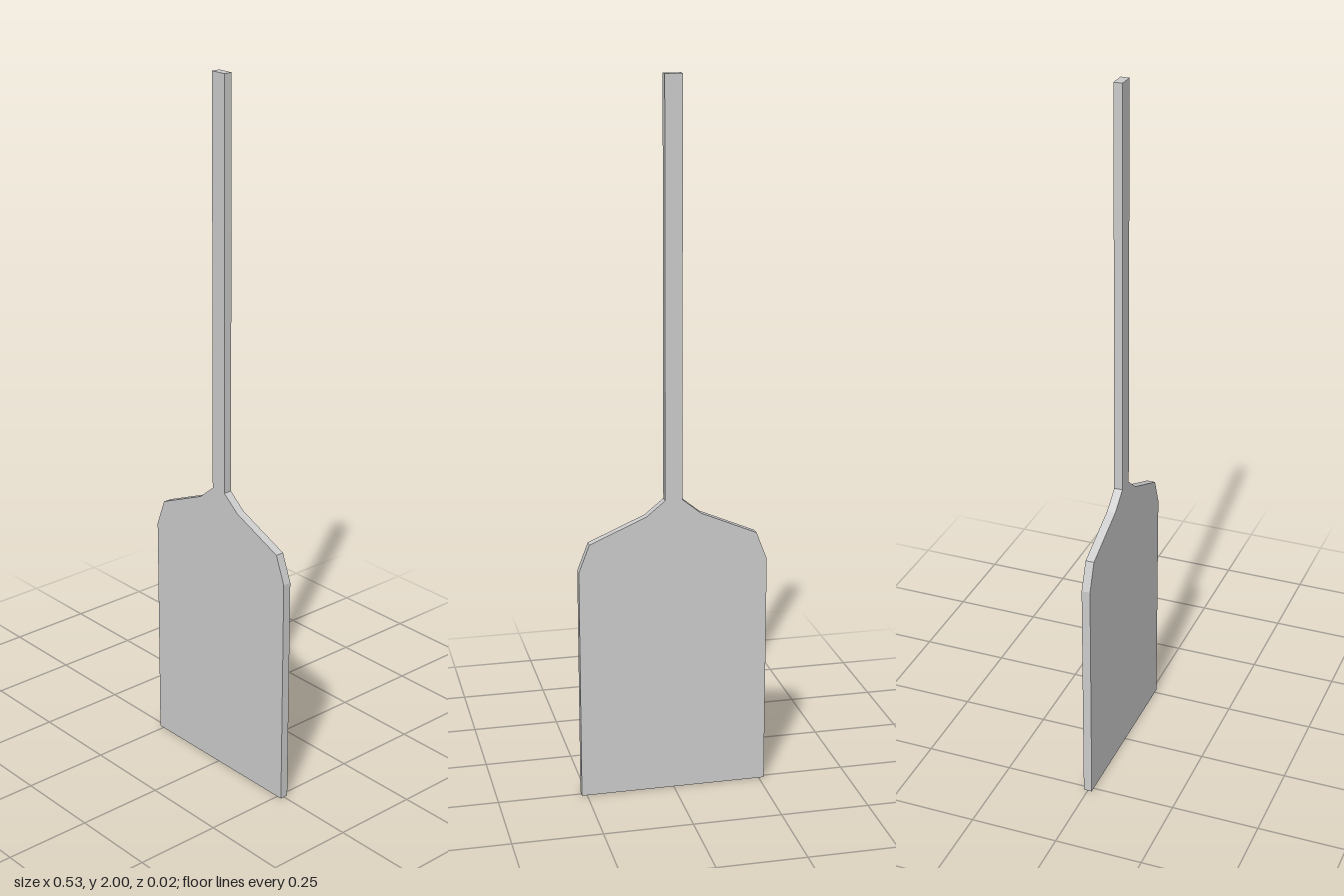
import * as THREE from 'three';

export function createModel() {
  const group = new THREE.Group();
  group.name = 'paddle';

  const thickness = 0.024;

  // Right half of the outline: blade side, shoulder, neck, handle
  const half = [
    [0.265, 0], [0.265, 0.665], [0.235, 0.743],
    [0.077, 0.811], [0.024, 0.854], [0.024, 2],
  ];
  const mirrored = half.map(([x, y]) => [-x, y]).reverse();
  const outline = new THREE.Shape(
    [...half, ...mirrored].map(([x, y]) => new THREE.Vector2(x, y))
  );

  // Blade and handle are one flat board
  const geometry = new THREE.ExtrudeGeometry(outline, { depth: thickness, bevelEnabled: false });
  geometry.translate(0, 0, -thickness / 2);

  const board = new THREE.Mesh(
    geometry,
    new THREE.MeshStandardMaterial({ color: 0xcccccc, flatShading: true })
  );
  board.name = 'bladeAndHandle';
  group.add(board);

  return group;
}
